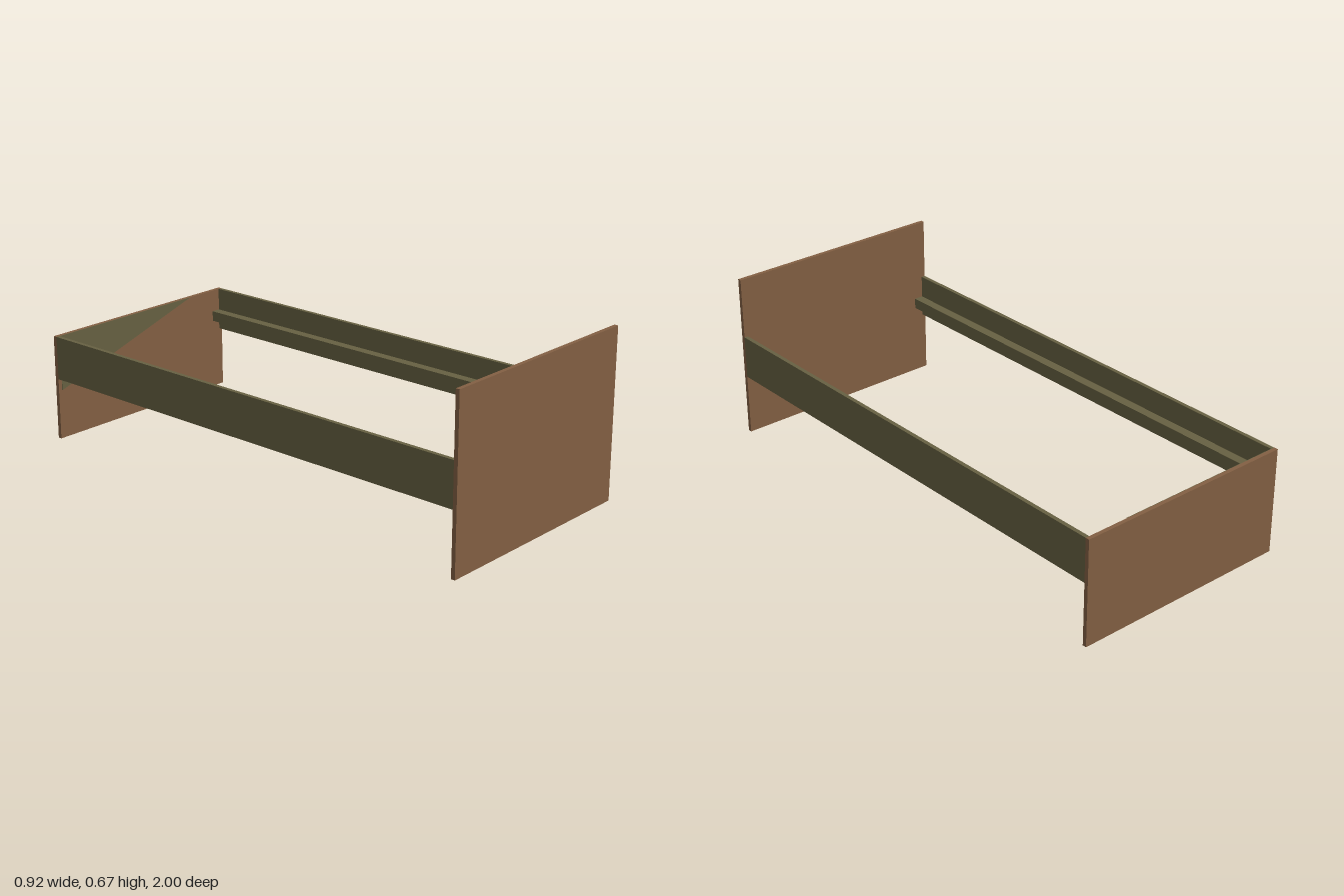
import * as THREE from 'three';

export function createModel() {
  const group = new THREE.Group();
  const brown = new THREE.MeshStandardMaterial({ color: 0x836043 });
  brown.name = 'brown wood';
  const olive = new THREE.MeshStandardMaterial({ color: 0x676142 });
  olive.name = 'olive wood';

  const W = 0.458;      // half width of the bed
  const T = 0.016;      // board thickness
  const RAIL_TOP = 0.425;
  const INNER = 1 - T;  // inner face of the end boards

  // Box given by its extents on each axis
  function board(name, material, [x0, x1], [y0, y1], [z0, z1]) {
    const mesh = new THREE.Mesh(new THREE.BoxGeometry(x1 - x0, y1 - y0, z1 - z0), material);
    mesh.position.set((x0 + x1) / 2, (y0 + y1) / 2, (z0 + z1) / 2);
    mesh.name = name;
    group.add(mesh);
  }

  // End boards
  board('headboard', brown, [-W, W], [0, 0.672], [INNER, 1]);
  board('footboard', brown, [-W, W], [0, RAIL_TOP], [-1, -INNER]);

  // Side rails, each with a slat ledge along its inner face
  for (const [side, s] of [['left', 1], ['right', -1]]) {
    const span = (a, b) => (s > 0 ? [a, b] : [-b, -a]);
    board(side + 'Rail', olive, span(W - T, W), [0.25, RAIL_TOP], [-INNER, INNER]);
    board(side + 'Ledge', olive, span(0.404, W - T), [0.292, 0.334], [-INNER, INNER]);
  }

  // Olive wedge panel on the inner face of the footboard
  const wedge = new THREE.Shape([
    new THREE.Vector2(-W + T, RAIL_TOP),
    new THREE.Vector2(-W + T, 0.2),
    new THREE.Vector2(0.27, RAIL_TOP),
  ]);
  const panel = new THREE.Mesh(
    new THREE.ExtrudeGeometry(wedge, { depth: 0.002, bevelEnabled: false }), olive);
  panel.position.z = -INNER;
  panel.name = 'footboardPanel';
  group.add(panel);

  return group;
}
